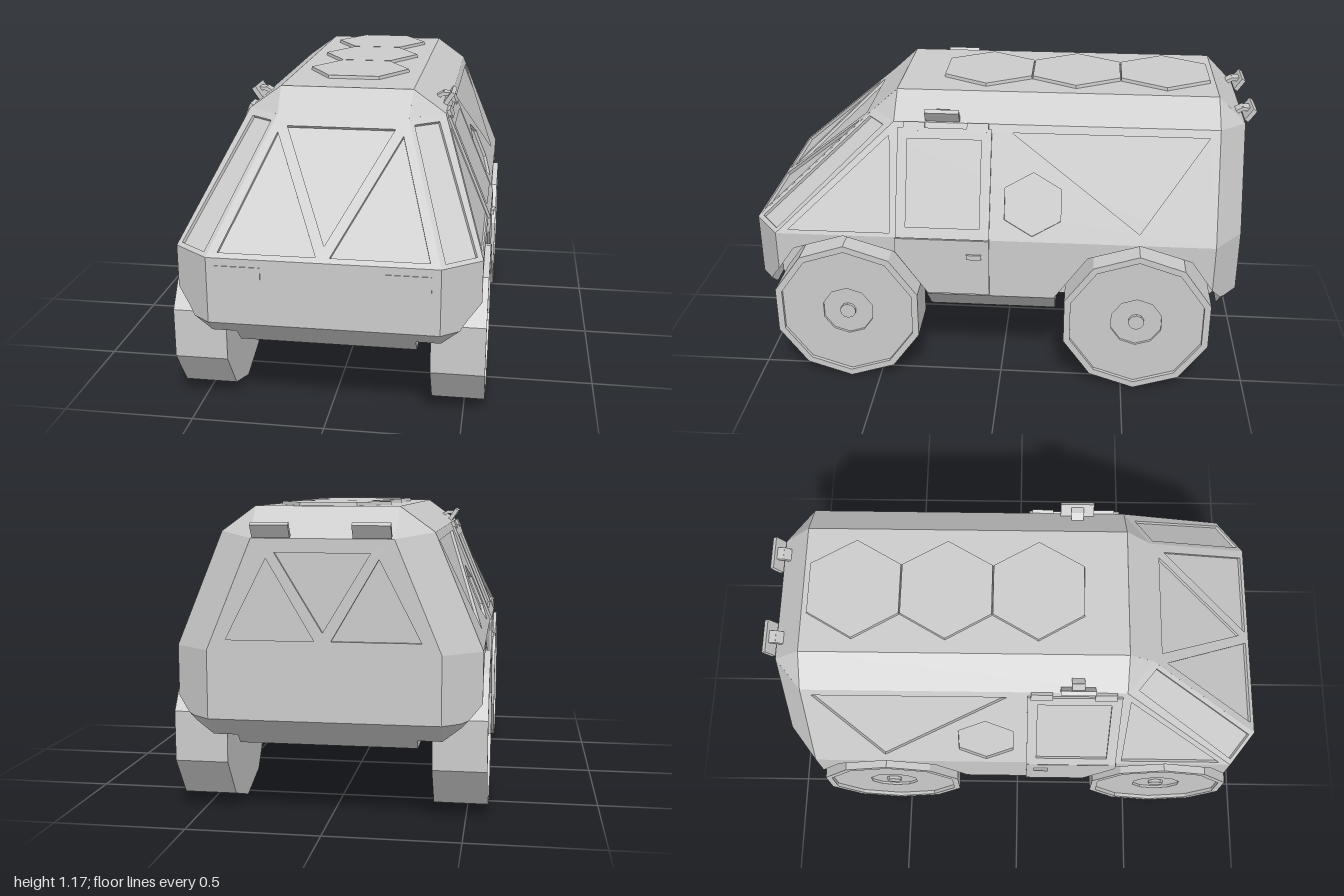
import * as THREE from 'three';

const mat = new THREE.MeshStandardMaterial({ color: 0xcccccc, flatShading: true });
const V = (x, y, z) => new THREE.Vector3(x, y, z);

function add(parent, name, geo, x = 0, y = 0, z = 0) {
  const g = geo.index ? geo.toNonIndexed() : geo;
  g.computeVertexNormals();
  const mesh = new THREE.Mesh(g, mat);
  mesh.name = name;
  mesh.position.set(x, y, z);
  parent.add(mesh);
  return mesh;
}

// Flat hull plate through 3D corners, with sunken windows.
// Windows are 2D outlines projected along an axis: 'z' takes (x, y), 'x' takes (z, y).
function plate(parent, name, pts, { holes = [], axis = 'z', depth = 0.012, lift = 0 } = {}) {
  const n = pts[1].clone().sub(pts[0]).cross(pts[2].clone().sub(pts[0])).normalize();
  const mid = pts.reduce((a, p) => a.add(p), V(0, 0, 0)).divideScalar(pts.length);
  if (n.dot(mid.sub(V(0, 0.6, 0))) < 0) n.negate();
  const up = Math.abs(n.y) > 0.99 ? V(0, 0, -1) : V(0, 1, 0);
  const u = up.cross(n).normalize(), v = n.clone().cross(u);
  const flat = (p) => {
    const d = p.clone().sub(pts[0]);
    return new THREE.Vector2(d.dot(u), d.dot(v));
  };
  const project = ([a, b]) => {
    const p = axis === 'z' ? V(a, b, 0) : V(0, b, a);
    p[axis] = -n.dot(p.clone().sub(pts[0])) / n[axis];
    return flat(p);
  };
  const shape = new THREE.Shape(pts.map(flat));
  holes.forEach((h) => shape.holes.push(new THREE.Path(h.map(project))));
  const m = new THREE.Matrix4().makeBasis(u, v, n)
    .setPosition(pts[0].clone().addScaledVector(n, lift - depth));
  add(parent, name, new THREE.ExtrudeGeometry(shape, { depth, bevelEnabled: false }).applyMatrix4(m));
  if (holes.length) {
    add(parent, name + 'Recess', new THREE.ShapeGeometry(new THREE.Shape(pts.map(flat))).applyMatrix4(m));
  }
}

// Solid skinned through (z, y) outlines at ascending x
function loft(xs, section) {
  const rings = xs.map((x) => section(Math.abs(x)).map(([z, y]) => V(x, y, z)));
  const pos = [];
  const tri = (...t) => t.forEach((p) => pos.push(p.x, p.y, p.z));
  const count = rings[0].length;
  for (let i = 0; i + 1 < rings.length; i++) {
    for (let j = 0; j < count; j++) {
      const k = (j + 1) % count, a = rings[i], b = rings[i + 1];
      tri(a[j], a[k], b[k]);
      tri(a[j], b[k], b[j]);
    }
  }
  [rings[0], rings[rings.length - 1]].forEach((r, end) => {
    const faces = THREE.ShapeUtils.triangulateShape(r.map((p) => new THREE.Vector2(p.z, p.y)), []);
    for (const [a, b, c] of faces) {
      const nx = (r[b].y - r[a].y) * (r[c].z - r[a].z) - (r[b].z - r[a].z) * (r[c].y - r[a].y);
      if ((nx > 0) === (end === 1)) tri(r[a], r[b], r[c]);
      else tri(r[a], r[c], r[b]);
    }
  });
  const g = new THREE.BufferGeometry();
  g.setAttribute('position', new THREE.Float32BufferAttribute(pos, 3));
  return g;
}

const FRONT = 0.62, REAR = -0.55; // axle positions
const archY = (d) => 0.407 + Math.max(0, 0.328 - d) * 1.424;

// Lower side outline with both wheel arches; ends taper where the corners are cut
function sideSection(x) {
  const t = Math.max(0, x - 0.42) / 0.14;
  const end = (limit, axle) => { // works on distances from the middle
    const z = limit - 0.11 * t, edge = axle + 0.328, a = Math.min(z, edge);
    const y = z > edge ? 0.4 : archY(z - axle);
    return [[z, 0.65], [z, y], [a, z > edge ? 0.4 - (z - edge) : y], [a, archY(a - axle)],
      [axle + 0.203, 0.585], [axle, 0.648], [axle - 0.203, 0.585], [axle - 0.328, 0.407],
      [axle - 0.328, 0.29 + Math.max(0, x - 0.45)]];
  };
  const rear = end(0.95, -REAR).map(([z, y]) => [-z, y]).reverse();
  return [...end(1, FRONT), ...rear];
}

// Small tilted lamp on an arm, pointing along +z
function lamp(parent, name, x, y, z, turn) {
  const g = new THREE.Group();
  g.name = name;
  add(g, 'arm', new THREE.BoxGeometry(0.05, 0.014, 0.035), 0, 0.01, -0.012);
  add(g, 'armRoot', new THREE.BoxGeometry(0.05, 0.014, 0.04), 0, 0.003, -0.04).rotation.x = -0.5;
  add(g, 'lampPlate', new THREE.BoxGeometry(0.135, 0.055, 0.018)).rotation.x = 0.6;
  g.position.set(x, y, z);
  g.rotation.y = turn;
  parent.add(g);
}

export function createModel() {
  const root = new THREE.Group();
  root.name = 'armouredVan';

  // Lower hull: central tub
  const tub = [[1, 0.65], [1, 0.4], [0.89, 0.29], [-0.84, 0.29], [-0.95, 0.4], [-0.95, 0.65]];
  add(root, 'lowerHull', loft([-0.33, 0.33], () => tub));

  // Windscreen, roof and rear
  const tris = (w, top, low, gap, out, tip) => [
    [[-w, top], [w, top], [0, low + 0.03]],
    ...[1, -1].map((s) => [[s * tip, top - 0.02], [s * gap, low], [s * out, low]]),
  ];
  plate(root, 'windscreen', [V(-0.42, 0.65, 1), V(0.42, 0.65, 1), V(0.253, 1.07, 0.531),
    V(0.26, 1.16, 0.43), V(-0.26, 1.16, 0.43), V(-0.253, 1.07, 0.531)],
  { holes: tris(0.207, 1.035, 0.665, 0.025, 0.38, 0.24) });
  plate(root, 'roof', [V(-0.26, 1.16, 0.43), V(0.26, 1.16, 0.43), V(0.26, 1.16, -0.84), V(-0.26, 1.16, -0.84)]);
  plate(root, 'rearRoofSlope', [V(-0.26, 1.16, -0.84), V(0.26, 1.16, -0.84), V(0.253, 1.05, -0.95), V(-0.253, 1.05, -0.95)]);
  plate(root, 'rearDoor', [V(-0.42, 0.65, -0.95), V(0.42, 0.65, -0.95), V(0.253, 1.05, -0.95), V(-0.253, 1.05, -0.95)],
    { holes: tris(0.17, 1.0, 0.69, 0.03, 0.35, 0.2) });

  // Roof hatches
  for (const z of [-0.64, -0.28, 0.08]) {
    add(root, 'roofHatch', new THREE.CylinderGeometry(0.205, 0.208, 0.02, 6, 1, false, Math.PI / 2), 0, 1.163, z);
  }

  for (const s of [1, -1]) {
    const side = new THREE.Group();
    side.name = s > 0 ? 'leftSide' : 'rightSide';
    root.add(side);
    const P = (x, y, z) => V(s * x, y, z);

    // Lower side with wheel arches
    const xs = [0.33, 0.42, 0.45, 0.486, 0.512, 0.56];
    add(side, 'lowerSide', loft(s > 0 ? xs : xs.map((x) => -x).reverse(), sideSection));

    // Upper side with windows
    const hex = [0, 1, 2, 3, 4, 5].map((i) => {
      const a = (i * Math.PI) / 3;
      return [-0.127 + 0.127 * Math.sin(a), 0.785 + 0.115 * Math.cos(a)];
    });
    plate(side, 'upperSide', [P(0.56, 0.65, 0.89), P(0.385, 1.07, 0.427), P(0.385, 1.07, -0.84), P(0.56, 0.65, -0.84)], {
      axis: 'x',
      holes: [hex, [[0.84, 0.665], [0.445, 1.02], [0.435, 0.665]], [[-0.04, 1.04], [-0.8, 1.04], [-0.545, 0.69]]],
    });
    plate(side, 'frontPillar', [P(0.42, 0.65, 1), P(0.56, 0.65, 0.89), P(0.385, 1.07, 0.427), P(0.253, 1.07, 0.531)],
      { holes: [[[s * 0.276, 1.048], [s * 0.365, 1.048], [s * 0.538, 0.662], [s * 0.432, 0.662]]] });
    plate(side, 'frontPillarTop', [P(0.26, 1.16, 0.43), P(0.253, 1.07, 0.531), P(0.385, 1.07, 0.427)]);
    plate(side, 'roofChamfer', [P(0.385, 1.07, 0.427), P(0.26, 1.16, 0.43), P(0.26, 1.16, -0.84), P(0.385, 1.07, -0.84)]);
    plate(side, 'rearCorner', [P(0.42, 0.65, -0.95), P(0.56, 0.65, -0.84), P(0.385, 1.07, -0.84), P(0.253, 1.05, -0.95)]);
    plate(side, 'rearCornerTop', [P(0.26, 1.16, -0.84), P(0.385, 1.07, -0.84), P(0.253, 1.05, -0.95)]);

    // Door in two leaves, hinges and handle
    plate(side, 'doorUpper', [P(0.56, 0.65, 0.41), P(0.393, 1.05, 0.41), P(0.393, 1.05, 0.04), P(0.56, 0.65, 0.04)],
      { axis: 'x', lift: 0.01, holes: [[[0.37, 0.69], [0.37, 1.01], [0.08, 1.01], [0.08, 0.69]]] });
    plate(side, 'doorLower', [P(0.56, 0.65, 0.04), P(0.56, 0.41, 0.04), P(0.56, 0.41, 0.288), P(0.56, 0.59, 0.413), P(0.56, 0.65, 0.413)],
      { lift: 0.01 });
    for (const z of [0.095, 0.345]) {
      add(side, 'doorHinge', new THREE.BoxGeometry(0.025, 0.035, 0.085), s * 0.393, 1.055, z).rotation.z = s * 0.4;
    }
    add(side, 'doorHandle', new THREE.BoxGeometry(0.016, 0.02, 0.06), s * 0.571, 0.58, 0.1);

    // Lamps and headlight
    lamp(side, 'sideLamp', s * 0.388, 1.1, 0.235, (s * Math.PI) / 2);
    lamp(side, 'rearLamp', s * 0.178, 1.08, -0.97, Math.PI);
    add(side, 'headlight', new THREE.BoxGeometry(0.165, 0.066, 0.016), s * 0.305, 0.588, 0.995);

    // Ten-sided wheels with a sunken face and a hub
    const profile = [[0, 0.38], [0.305, 0.38], [0.305, 0.58], [0.278, 0.58], [0.278, 0.565], [0.105, 0.565],
      [0.105, 0.555], [0.032, 0.555], [0.032, 0.568], [0, 0.568]].map(([r, h]) => new THREE.Vector2(r, h));
    for (const z of [FRONT, REAR]) {
      const wheel = new THREE.LatheGeometry(profile, 10, Math.PI / 2).rotateZ((-s * Math.PI) / 2);
      add(side, z > 0 ? 'frontWheel' : 'rearWheel', wheel, 0, 0.305, z);
      add(side, 'axle', new THREE.CylinderGeometry(0.05, 0.05, 0.1, 10).rotateZ(Math.PI / 2), s * 0.35, 0.35, z);
    }
  }
  return root;
}
